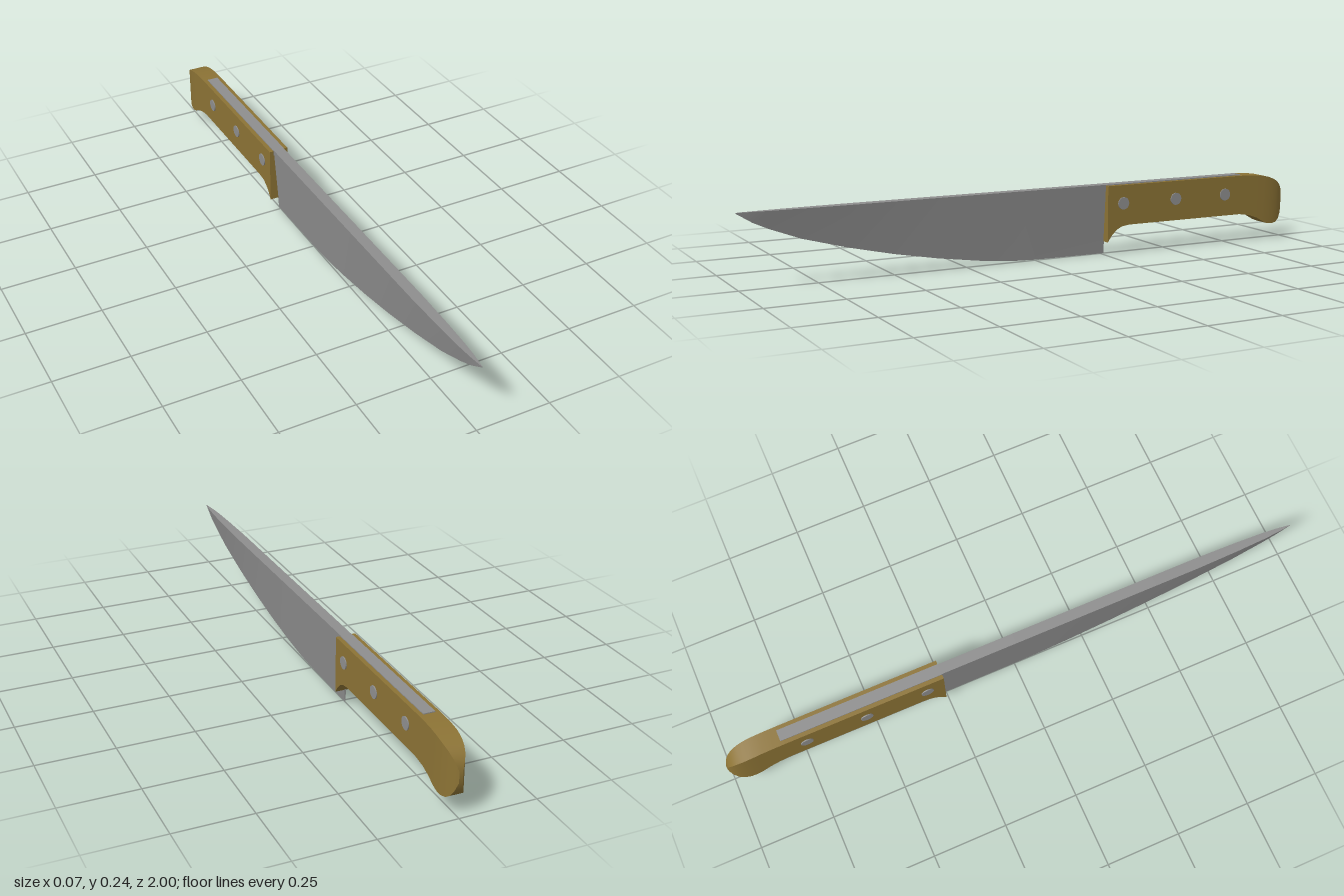
import * as THREE from 'three';
import { toCreasedNormals } from 'three/addons/utils/BufferGeometryUtils.js';

// Skin four-cornered cross-sections, listed from front to back as
// [z, top y, bottom y, half width at top, half width at bottom]
function loft(sections, crease) {
  const positions = [];
  const index = [];
  for (const [z, top, bottom, wt, wb] of sections) {
    positions.push(wt, top, z, -wt, top, z, -wb, bottom, z, wb, bottom, z);
  }
  for (let i = 0; i < sections.length - 1; i++) {
    for (let j = 0; j < 4; j++) {
      const k = (j + 1) % 4;
      const a = i * 4, b = a + 4;
      index.push(a + j, b + j, b + k, a + j, b + k, a + k);
    }
  }
  const e = (sections.length - 1) * 4;
  index.push(0, 1, 2, 0, 2, 3, e, e + 2, e + 1, e, e + 3, e + 2);
  const geometry = new THREE.BufferGeometry();
  geometry.setAttribute('position', new THREE.Float32BufferAttribute(positions, 3));
  geometry.setIndex(index);
  return toCreasedNormals(geometry, crease);
}

export function createModel() {
  const steel = new THREE.MeshStandardMaterial({ color: 0x8e8e8e });
  steel.name = 'steel';
  const wood = new THREE.MeshStandardMaterial({ color: 0x8c7335 });
  wood.name = 'wood';

  const model = new THREE.Group();
  model.name = 'kitchenKnife';
  const add = (name, geometry, material) => {
    const mesh = new THREE.Mesh(geometry, material);
    mesh.name = name;
    model.add(mesh);
    return mesh;
  };

  // Wedge-shaped blade: [z, cutting edge y, spine half width]
  const blade = [
    [1, 0.234, 0.0006], [0.95, 0.203, 0.007], [0.9, 0.18, 0.011], [0.8, 0.142, 0.015],
    [0.65, 0.101, 0.018], [0.5, 0.067, 0.018], [0.35, 0.039, 0.018], [0.2, 0.017, 0.018],
    [0.08, 0.005, 0.018], [0, 0.002, 0.018], [-0.262, 0, 0.018],
  ].map(([z, y, w]) => [z, 0.237, y, w, 0.0004]);
  add('blade', loft(blade, 0.5), steel);

  // Tang showing along the top of the handle
  const tang = new THREE.BoxGeometry(0.038, 0.02, 0.55);
  tang.translate(0, 0.227, -0.535);
  add('tang', tang, steel);

  // Handle with a finger guard in front and a hooked, rounded butt
  const handle = [
    [-0.26, 0.234, 0.042, 0.033], [-0.275, 0.234, 0.064, 0.033], [-0.295, 0.234, 0.083, 0.033],
    [-0.315, 0.234, 0.093, 0.033], [-0.345, 0.234, 0.097, 0.033], [-0.8, 0.234, 0.097, 0.033],
    [-0.84, 0.233, 0.091, 0.033], [-0.875, 0.231, 0.079, 0.033], [-0.905, 0.227, 0.062, 0.033],
    [-0.925, 0.222, 0.054, 0.032], [-0.945, 0.215, 0.052, 0.03], [-0.965, 0.205, 0.056, 0.026],
    [-0.98, 0.192, 0.067, 0.021], [-0.992, 0.175, 0.088, 0.014], [-1, 0.15, 0.115, 0.006],
  ].map(([z, t, b, w]) => [z, t, b, w, w]);
  add('handle', loft(handle, 0.7), wood);

  // Rivets passing through the handle
  for (const z of [-0.32, -0.53, -0.735]) {
    const rivet = new THREE.CylinderGeometry(0.021, 0.021, 0.073, 20);
    rivet.rotateZ(Math.PI / 2);
    add('rivet', rivet, steel).position.set(0, 0.172, z);
  }
  return model;
}
